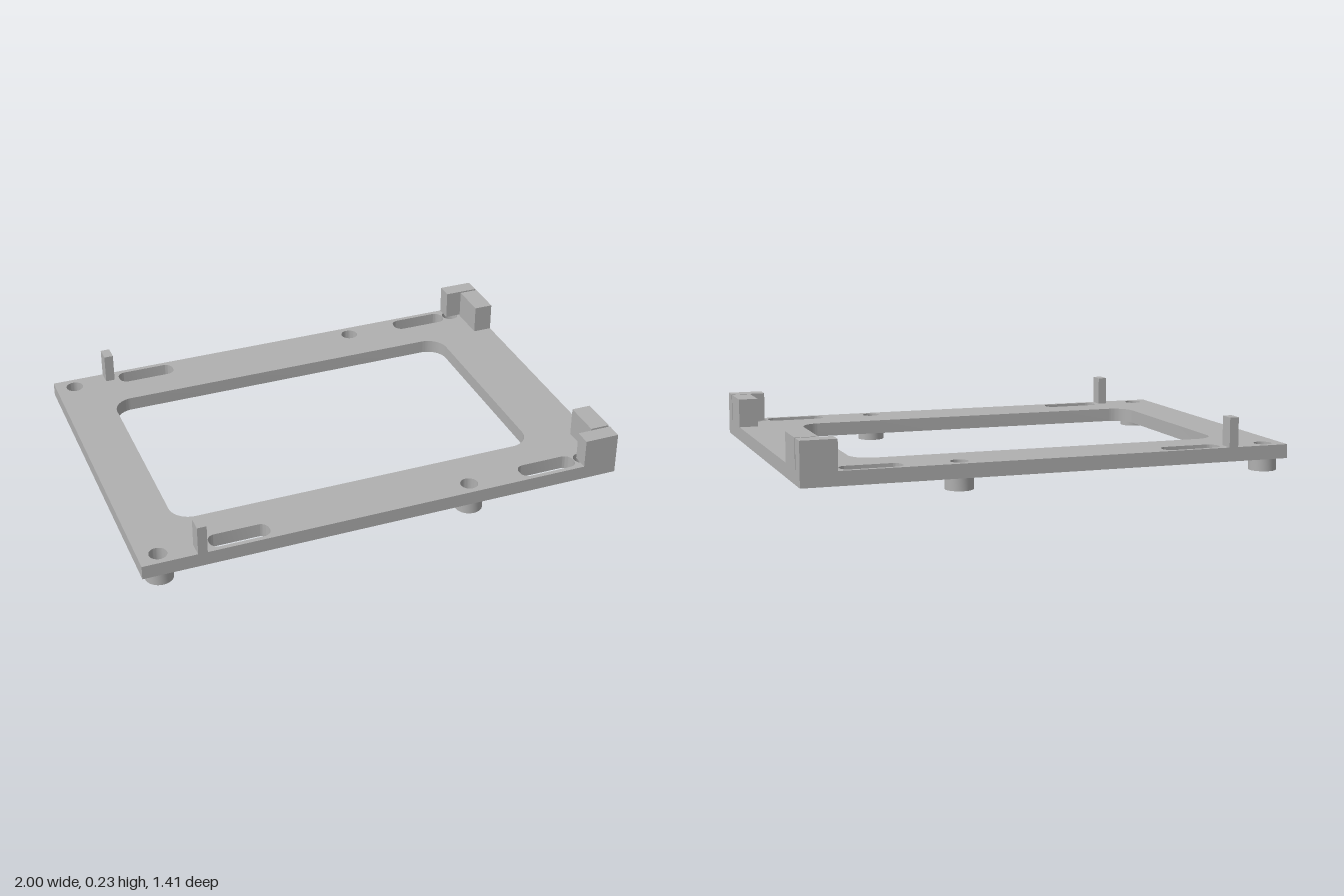
import * as THREE from 'three';
import { toCreasedNormals } from 'three/addons/utils/BufferGeometryUtils.js';

const BASE = 0.05, TOP = 0.107, POST_TOP = 0.227;
const HALF_Z = 0.705, HOLE_Z = 0.646;

function roundedRect(x0, x1, y0, y1, r) {
  const p = new THREE.Path();
  p.absarc(x1 - r, y1 - r, r, 0, Math.PI / 2);
  p.absarc(x0 + r, y1 - r, r, Math.PI / 2, Math.PI);
  p.absarc(x0 + r, y0 + r, r, Math.PI, Math.PI * 1.5);
  p.absarc(x1 - r, y0 + r, r, Math.PI * 1.5, Math.PI * 2);
  p.closePath();
  return p;
}

function circle(x, y, r) {
  return new THREE.Path().absarc(x, y, r, 0, Math.PI * 2);
}

// Extrude a plan-view shape upward from y0 to y1
function slab(shape, y0, y1) {
  const g = new THREE.ExtrudeGeometry(shape, { depth: y1 - y0, bevelEnabled: false, curveSegments: 16 });
  g.rotateX(-Math.PI / 2).translate(0, y0, 0);
  return toCreasedNormals(g, 0.6);
}

export function createModel() {
  const model = new THREE.Group();
  model.name = 'mountingFrame';
  const grey = new THREE.MeshStandardMaterial({ color: 0xb0b0b0 });
  grey.name = 'grey';

  const add = (name, geometry) => {
    const mesh = new THREE.Mesh(geometry, grey);
    mesh.name = name;
    model.add(mesh);
  };
  // Box on the plate, given by its x and z limits
  const block = (name, x0, x1, z0, z1) => {
    const g = new THREE.BoxGeometry(x1 - x0, POST_TOP - TOP, Math.abs(z1 - z0));
    add(name, g.translate((x0 + x1) / 2, (TOP + POST_TOP) / 2, (z0 + z1) / 2));
  };

  // Frame plate with window, slots and screw holes
  const plate = new THREE.Shape([
    new THREE.Vector2(-1, -HALF_Z), new THREE.Vector2(1, -HALF_Z),
    new THREE.Vector2(1, HALF_Z), new THREE.Vector2(-1, HALF_Z),
  ]);
  plate.holes.push(roundedRect(-0.8, 0.738, -0.466, 0.466, 0.085));
  for (const s of [-1, 1]) {
    const c = s * HOLE_Z;
    for (const x of [-0.72, 0.593]) {
      plate.holes.push(roundedRect(x, x + 0.245, c - 0.04, c + 0.04, 0.034));
    }
    for (const x of [-0.92, 0.37, 0.877]) plate.holes.push(circle(x, c, 0.036));
  }
  add('plate', slab(plate, BASE, TOP));

  for (const s of [-1, 1]) {
    const side = s > 0 ? 'front' : 'back';

    // Hollow round feet under the screw holes
    for (const x of [-0.92, 0.37]) {
      const ring = new THREE.Shape().absarc(x, s * HOLE_Z, 0.056, 0, Math.PI * 2);
      ring.holes.push(circle(x, s * HOLE_Z, 0.036));
      add(side + 'Foot', slab(ring, 0, BASE));
    }

    // Thin post and the two corner stops with a narrow gap between
    block(side + 'Post', -0.78, -0.742, s * 0.642, s * HALF_Z);
    block(side + 'CornerStop', 0.856, 1, s * 0.637, s * HALF_Z);
    block(side + 'EndStop', 0.92, 1, s * 0.466, s * 0.627);
  }
  return model;
}
